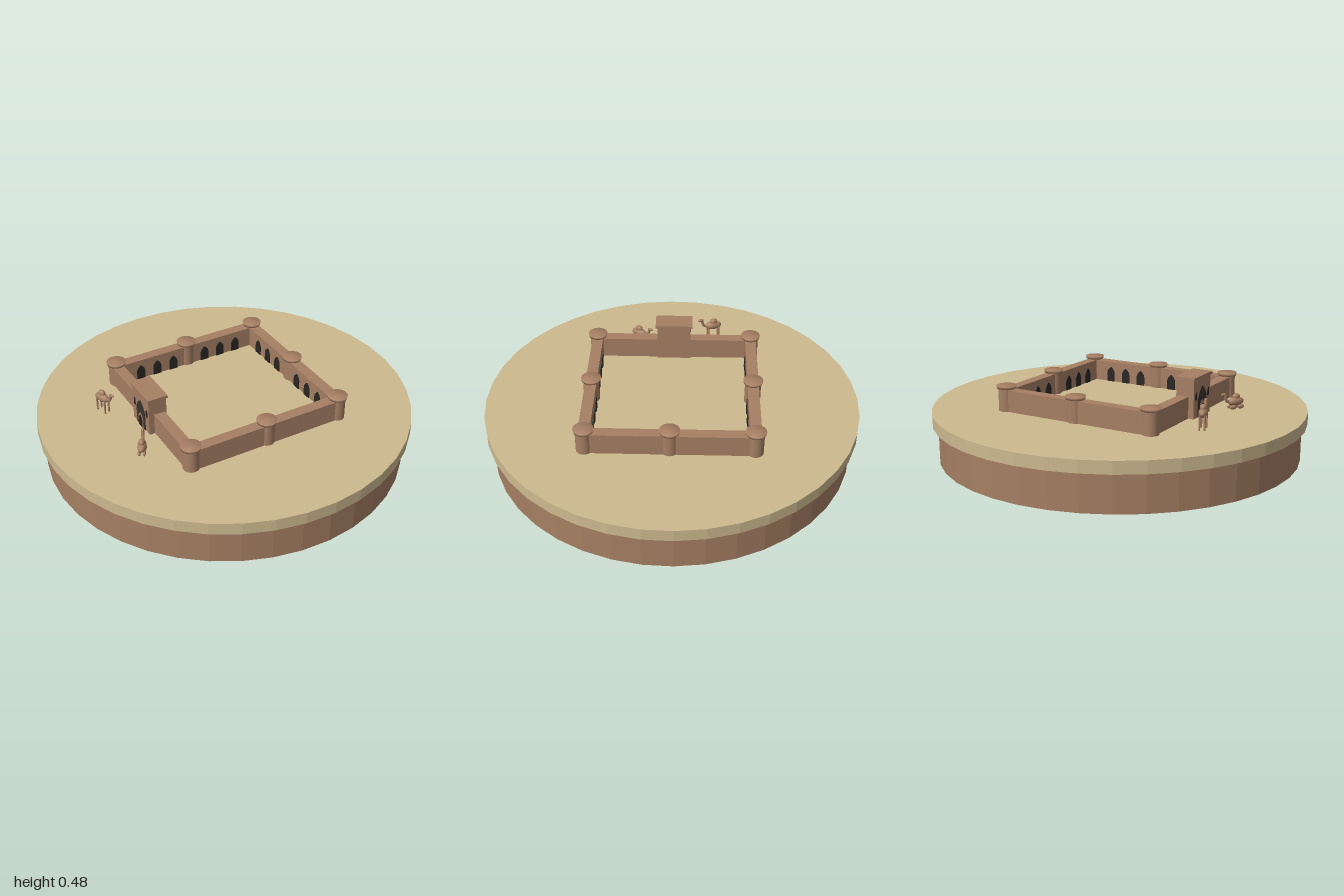
import * as THREE from 'three';
import { mergeVertices } from 'three/addons/utils/BufferGeometryUtils.js';

const material = (name, color, flat = false) =>
  Object.assign(new THREE.MeshStandardMaterial({ color, flatShading: flat }), { name });

const GROUND = 0.265, HALF = 0.431, WALL_H = 0.115, WALL_T = 0.06;

export function createModel() {
  const earth = material('earthBrown', 0xa67f63);
  const sand = material('sand', 0xcdb98f);
  const dark = material('shadowBlack', 0x2a2622);
  const doorGrey = material('gateRecess', 0x3a332d);

  const add = (parent, name, geometry, mat, x = 0, y = 0, z = 0) => {
    const mesh = new THREE.Mesh(geometry, mat);
    mesh.name = name;
    mesh.position.set(x, y, z);
    parent.add(mesh);
    return mesh;
  };
  const group = (parent, name) => {
    const g = new THREE.Group();
    g.name = name;
    parent.add(g);
    return g;
  };
  // welds all edges so shading rolls softly over the rim
  const soften = (geometry) => {
    geometry.deleteAttribute('normal');
    geometry.deleteAttribute('uv');
    const welded = mergeVertices(geometry, 1e-5);
    welded.computeVertexNormals();
    return welded;
  };
  // faceted disc with crisp sides
  const disc = (r, h) => {
    const g = new THREE.CylinderGeometry(r, r, h, 40).toNonIndexed();
    g.computeVertexNormals();
    return g;
  };
  // thin pointed arch standing on y = 0
  const arch = (w, h, depth = 0.006) => {
    const s = new THREE.Shape();
    s.moveTo(-w / 2, 0);
    s.lineTo(w / 2, 0);
    s.lineTo(w / 2, h * 0.55);
    s.quadraticCurveTo(w / 2, h * 0.78, 0, h);
    s.quadraticCurveTo(-w / 2, h * 0.78, -w / 2, h * 0.55);
    return new THREE.ExtrudeGeometry(s, { depth, bevelEnabled: false, curveSegments: 5 });
  };

  const model = new THREE.Group();
  model.name = 'desertFort';

  // round plinth
  add(model, 'plinth', disc(0.97, 0.2), earth, 0, 0.1, 0);
  add(model, 'sandDisc', disc(1, 0.065), sand, 0, 0.2325, 0);

  // courtyard walls, towers and inner arcades
  const fort = group(model, 'fort');
  fort.position.y = GROUND;
  fort.rotation.y = -0.35;
  const towerBody = new THREE.CylinderGeometry(0.043, 0.043, 0.12, 24);
  const towerCap = soften(new THREE.CylinderGeometry(0.053, 0.05, 0.015, 24));
  const tower = (parent, x) => {
    add(parent, 'tower', towerBody, earth, x, 0.06, HALF);
    add(parent, 'towerCap', towerCap, earth, x, 0.1275, HALF);
  };
  const wall = new THREE.BoxGeometry(HALF * 2, WALL_H, WALL_T);
  const niche = arch(0.048, 0.085);
  ['front', 'left', 'back', 'right'].forEach((name, k) => {
    const side = group(fort, name + 'Side');
    side.rotation.y = k * Math.PI / 2;
    add(side, 'wall', wall, earth, 0, WALL_H / 2, HALF);
    tower(side, HALF);
    if (k === 0) return;
    tower(side, 0);
    for (const x of [-0.3, -0.2, -0.1, 0.1, 0.2, 0.3])
      add(side, 'niche', niche, dark, x, 0, HALF - WALL_T / 2 - 0.005);
  });

  // gatehouse
  const gate = group(fort, 'gatehouse');
  gate.position.z = 0.441;
  add(gate, 'gateBody', new THREE.BoxGeometry(0.187, 0.2, 0.1), earth, 0, 0.1, 0);
  add(gate, 'gateRoof', new THREE.BoxGeometry(0.205, 0.015, 0.112), earth, 0, 0.2075, 0);
  add(gate, 'gateArch', arch(0.098, 0.16), doorGrey, 0, 0, 0.046);
  add(gate, 'doorFrame', arch(0.052, 0.085), earth, 0, 0, 0.048);
  add(gate, 'door', arch(0.038, 0.07), dark, 0, 0, 0.05);
  for (const x of [-0.069, 0.069])
    add(gate, 'gateWindow', arch(0.018, 0.045), dark, x, 0.095, 0.046);

  // camels, facing their own +x
  const ball = new THREE.SphereGeometry(1, 16, 12);
  const blob = (parent, name, x, y, z, rx, ry, rz) =>
    add(parent, name, ball, earth, x, y, z).scale.set(rx, ry, rz);
  const camel = (name, x, z, turn, standing) => {
    const c = group(model, name);
    c.position.set(x, GROUND, z);
    c.rotation.y = turn;
    const y = standing ? 0.085 : 0.042;
    blob(c, 'body', 0, y, 0, 0.048, 0.024, 0.023);
    blob(c, 'hump', -0.002, y + 0.025, 0, 0.022, 0.018, 0.016);
    const neck = new THREE.CatmullRomCurve3([
      new THREE.Vector3(0.038, y, 0),
      new THREE.Vector3(0.058, y + 0.008, 0),
      new THREE.Vector3(0.07, y + 0.042, 0)]);
    add(c, 'neck', new THREE.TubeGeometry(neck, 8, 0.008, 8), earth);
    blob(c, 'head', 0.077, y + 0.044, 0, 0.017, 0.008, 0.008);
    for (const lx of [-0.03, 0.03]) for (const lz of [-0.013, 0.013]) {
      if (standing)
        add(c, 'leg', new THREE.CylinderGeometry(0.006, 0.0045, y, 8), earth, lx, y / 2, lz);
      else
        blob(c, 'foldedLeg', lx * 0.8, 0.014, lz, 0.02, 0.012, 0.008);
    }
  };
  camel('standingCamel', -0.418, 0.495, -0.05, true);
  camel('restingCamel', -0.008, 0.623, 2.26, false);

  return model;
}
